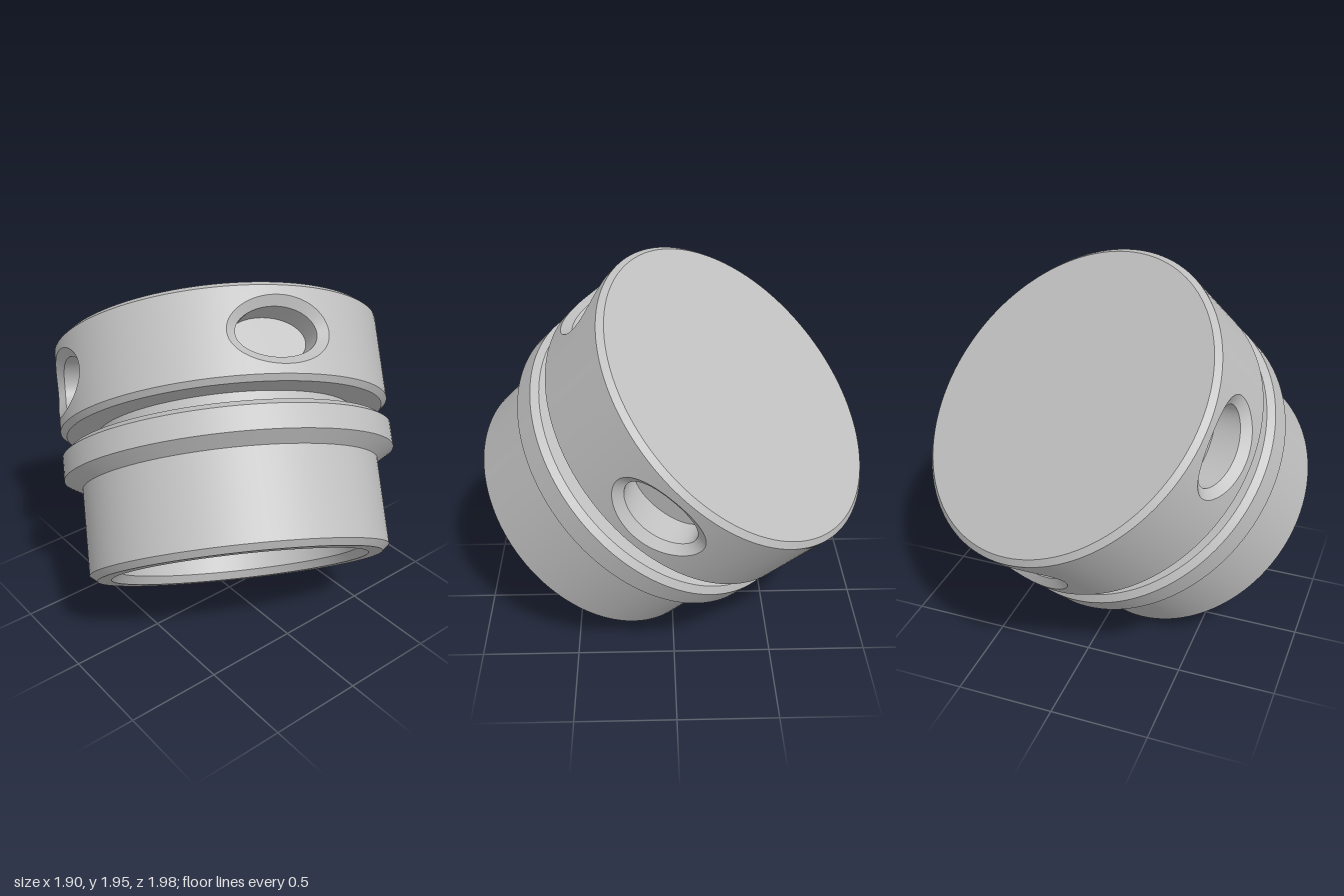
import * as THREE from 'three';

const SEG = 128;
const HEAD_R = 0.845, HEAD_TOP = 1.19, HEAD_BOTTOM = 0.768;

// Turned surface with a crisp edge at every profile point
function turned(name, profile, material) {
  const group = new THREE.Group();
  group.name = name;
  for (let i = 0; i < profile.length - 1; i++) {
    const pts = [profile[i], profile[i + 1]].map(([r, y]) => new THREE.Vector2(r, y));
    const mesh = new THREE.Mesh(new THREE.LatheGeometry(pts, SEG), material);
    mesh.name = name + 'Face';
    group.add(mesh);
  }
  return group;
}

// Closed rings of points joined into one surface
function loft(rings) {
  const n = rings[0].length, pos = [], index = [];
  rings.forEach(ring => ring.forEach(p => pos.push(p.x, p.y, p.z)));
  for (let i = 0; i < rings.length - 1; i++) {
    for (let k = 0; k < n; k++) {
      const a = i * n + k, b = i * n + (k + 1) % n;
      index.push(a, b, a + n, b, b + n, a + n);
    }
  }
  const g = new THREE.BufferGeometry();
  g.setAttribute('position', new THREE.Float32BufferAttribute(pos, 3));
  g.setIndex(index);
  g.computeVertexNormals();
  return g;
}

// Quarter of the head wall around an oval pocket facing +z
function headQuarter(material) {
  const W = Math.PI / 4, H = (HEAD_TOP - HEAD_BOTTOM) / 2;
  const border = [];
  const side = (x0, y0, x1, y1, n) => {
    for (let i = 0; i < n; i++) border.push([x0 + (x1 - x0) * i / n, y0 + (y1 - y0) * i / n]);
  };
  side(W, -H, W, H, 16);
  side(W, H, -W, H, SEG / 4);
  side(-W, H, -W, -H, 16);
  side(-W, -H, W, -H, SEG / 4);
  const angles = border.map(([x, y]) => Math.atan2(y / H, x / W));
  const oval = (q, p, depth) => angles.map(t => {
    const x = q * Math.cos(t);
    return new THREE.Vector3(x, p * Math.sin(t), depth(x));
  });
  const surface = x => Math.sqrt(HEAD_R * HEAD_R - x * x);

  // wall: blend from the rectangular border to the oval rim, wrapped on the cylinder
  const rimQ = 0.255, rimP = 0.165, rings = [], steps = 12;
  for (let j = 0; j <= steps; j++) {
    const f = j / steps;
    rings.push(border.map(([bx, by], k) => {
      const th = THREE.MathUtils.lerp(bx, Math.asin(rimQ * Math.cos(angles[k]) / HEAD_R), f);
      const y = THREE.MathUtils.lerp(by, rimP * Math.sin(angles[k]), f);
      return new THREE.Vector3(HEAD_R * Math.sin(th), y, HEAD_R * Math.cos(th));
    }));
  }
  const wall = loft(rings);
  const p = wall.attributes.position;
  for (let i = 0; i < p.count; i++) {
    wall.attributes.normal.setXYZ(i, p.getX(i) / HEAD_R, 0, p.getZ(i) / HEAD_R);
  }

  const rim = oval(rimQ, rimP, surface);
  const lip = oval(0.205, 0.122, x => surface(x) - 0.04);
  const base = oval(0.205, 0.122, () => 0.65);
  const centre = oval(0, 0, () => 0.65);
  const group = new THREE.Group();
  const parts = {
    headWall: wall,
    pocketBevel: loft([rim, lip]),
    pocketWall: loft([lip, base]),
    pocketFloor: loft([base, centre]),
  };
  for (const [name, geometry] of Object.entries(parts)) {
    const mesh = new THREE.Mesh(geometry, material);
    mesh.name = name;
    group.add(mesh);
  }
  return group;
}

export function createModel() {
  const grey = new THREE.MeshStandardMaterial({ color: 0xc0c0c0 });
  grey.name = 'light grey';
  const model = new THREE.Group();
  model.name = 'cap';

  // stepped bore, open at the bottom
  model.add(turned('bore', [
    [0, 0.69], [0.445, 0.69], [0.485, 0.65], [0.485, 0.2],
    [0.52, 0.17], [0.61, 0.17], [0.61, 0.04], [0.65, 0],
  ], grey));

  // bottom rim and lower sleeve
  model.add(turned('sleeve', [[0.65, 0], [0.72, 0], [0.757, 0.03], [0.757, 0.465]], grey));

  // flange, groove and lower edge of the head
  model.add(turned('flange', [
    [0.757, 0.465], [HEAD_R, 0.515], [HEAD_R, 0.632], [0.812, 0.66], [0.66, 0.66],
  ], grey));
  model.add(turned('groove', [[0.66, 0.66], [0.66, 0.742], [0.815, 0.742], [HEAD_R, HEAD_BOTTOM]], grey));

  // closed top with a chamfered edge
  model.add(turned('top', [[HEAD_R, HEAD_TOP], [0.817, 1.215], [0, 1.215]], grey));

  // head wall with four oval pockets
  for (let i = 0; i < 4; i++) {
    const quarter = headQuarter(grey);
    quarter.name = 'headQuarter' + (i + 1);
    quarter.position.y = (HEAD_TOP + HEAD_BOTTOM) / 2;
    quarter.rotation.y = i * Math.PI / 2;
    model.add(quarter);
  }

  // lean the whole part
  const up = new THREE.Vector3(0.344, 0.72, -0.603).normalize();
  const right = up.clone().cross(new THREE.Vector3(-0.142, 0.675, 0.724)).normalize();
  const front = right.clone().cross(up);
  model.quaternion.setFromRotationMatrix(new THREE.Matrix4().makeBasis(right, up, front));
  model.position.set(-0.245, 0.525, 0.396);

  const root = new THREE.Group();
  root.name = 'tiltedCap';
  root.add(model);
  return root;
}
